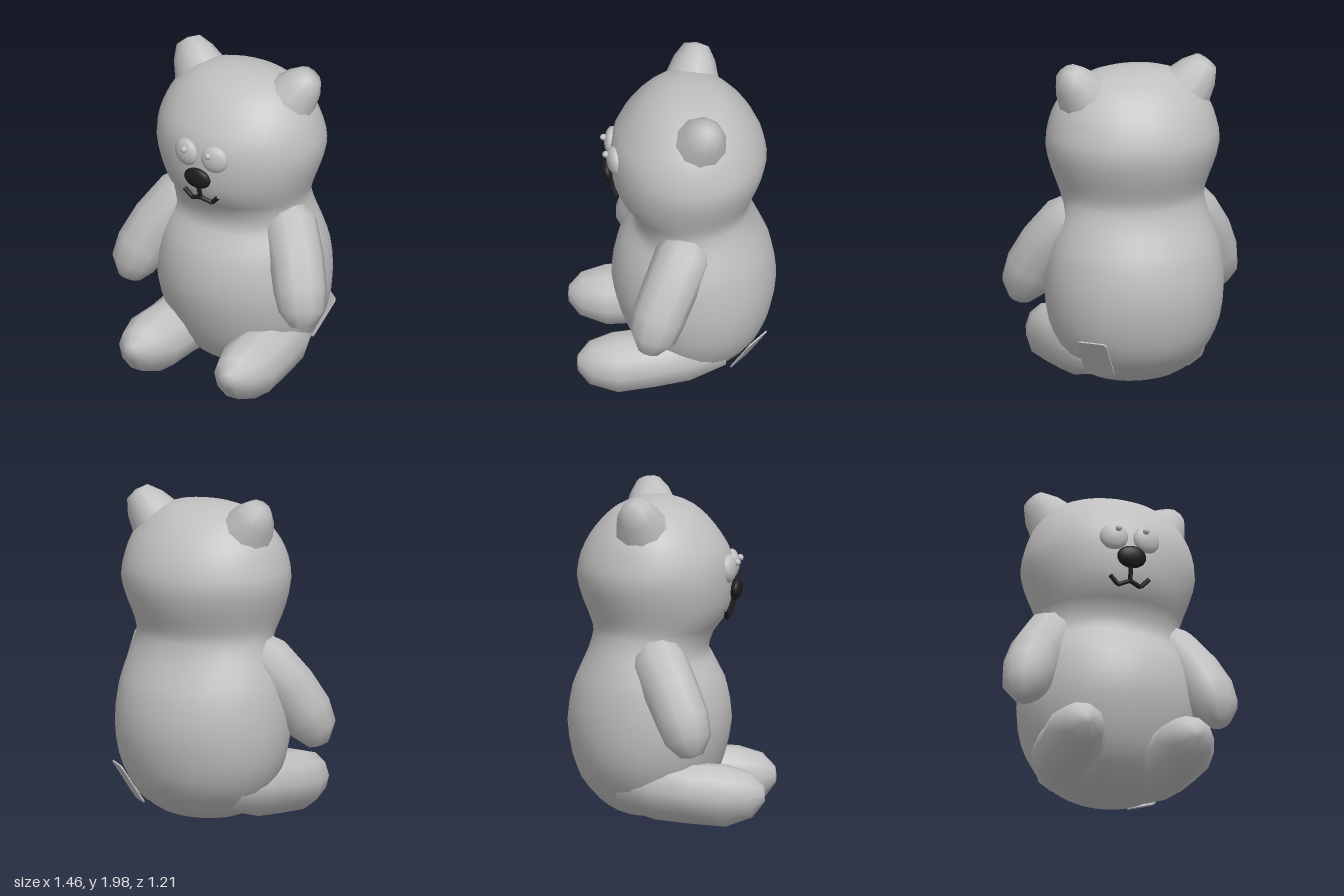
import * as THREE from 'three';
import { mergeVertices } from 'three/addons/utils/BufferGeometryUtils.js';

const fur = new THREE.MeshStandardMaterial({ color: 0xc0c0c0 });
fur.name = 'fur grey';
const black = new THREE.MeshStandardMaterial({ color: 0x1e1e1e });
black.name = 'nose black';

const V = (x, y, z) => new THREE.Vector3(x, y, z);

// Smooth skin over rings of points; end rings shrink to a point
function loft(rings) {
  const n = rings[0].length;
  const index = [];
  for (let i = 0; i < rings.length - 1; i++) {
    for (let j = 0; j < n; j++) {
      const k = (j + 1) % n;
      const a = i * n + j, b = i * n + k, c = (i + 1) * n + k, d = (i + 1) * n + j;
      index.push(a, b, c, a, c, d);
    }
  }
  let g = new THREE.BufferGeometry().setFromPoints(rings.flat());
  g.setIndex(index);
  g = mergeVertices(g, 1e-4);
  g.computeVertexNormals();
  return g;
}

// Limb from sections [x, y, z, radius], mirrored by side
function limb(sections, side, sides = 10) {
  const pts = sections.map(([x, y, z]) => V(x * side, y, z));
  const last = pts.length - 1;
  return loft(pts.map((p, i) => {
    const t = pts[Math.min(i + 1, last)].clone().sub(pts[Math.max(i - 1, 0)]).normalize();
    const e1 = V(1, 0, 0).addScaledVector(t, -t.x).normalize();
    const e2 = t.clone().cross(e1);
    return Array.from({ length: sides }, (_, j) => {
      const a = (j / sides) * Math.PI * 2, r = sections[i][3];
      return p.clone().addScaledVector(e1, Math.cos(a) * r).addScaledVector(e2, Math.sin(a) * r);
    });
  }));
}

// Torso and head sections: height, half width, front z, back z
const trunk = [
  [0.03, 0, -0.1, -0.1], [0.032, 0.15, 0.0, -0.22], [0.06, 0.26, 0.11, -0.32],
  [0.13, 0.36, 0.2, -0.42], [0.25, 0.45, 0.28, -0.52], [0.4, 0.515, 0.335, -0.575],
  [0.6, 0.54, 0.375, -0.605], [0.8, 0.525, 0.345, -0.575], [0.93, 0.49, 0.28, -0.52],
  [1.02, 0.455, 0.235, -0.48], [1.13, 0.43, 0.265, -0.45], [1.21, 0.445, 0.325, -0.465],
  [1.32, 0.485, 0.37, -0.51], [1.475, 0.525, 0.385, -0.55], [1.6, 0.505, 0.37, -0.525],
  [1.71, 0.466, 0.31, -0.47], [1.8, 0.4, 0.24, -0.4], [1.87, 0.32, 0.16, -0.32],
  [1.92, 0.19, 0.05, -0.2], [1.937, 0, -0.07, -0.07],
];

function trunkGeometry(sides = 32) {
  const size = new THREE.CatmullRomCurve3(trunk.map(([y, w]) => V(w, y, 0)));
  const depth = new THREE.CatmullRomCurve3(trunk.map(([, , f, b]) => V(f, b, 0)));
  const steps = (trunk.length - 1) * 2;
  const rings = [];
  for (let i = 0; i <= steps; i++) {
    const s = size.getPoint(i / steps), d = depth.getPoint(i / steps);
    const mid = (d.x + d.y) / 2, rz = (d.x - d.y) / 2;
    rings.push(Array.from({ length: sides }, (_, j) => {
      const a = (j / sides) * Math.PI * 2;
      return V(Math.sin(a) * s.x, s.y, mid + Math.cos(a) * rz);
    }));
  }
  return loft(rings);
}

const arm = [
  [0.2, 1.1, -0.07, 0], [0.28, 1.07, -0.06, 0.13], [0.38, 0.99, -0.02, 0.17],
  [0.49, 0.83, 0.07, 0.165], [0.56, 0.68, 0.14, 0.16], [0.595, 0.57, 0.175, 0.14],
  [0.61, 0.48, 0.2, 0.07], [0.612, 0.467, 0.202, 0],
];
const leg = [
  [0.24, 0.25, -0.28, 0], [0.25, 0.25, -0.25, 0.15], [0.29, 0.235, -0.02, 0.2],
  [0.32, 0.205, 0.18, 0.185], [0.335, 0.195, 0.38, 0.187], [0.34, 0.205, 0.53, 0.135],
  [0.342, 0.21, 0.602, 0.05], [0.342, 0.21, 0.608, 0],
];
const ear = [
  [0.17, 1.56, -0.08, 0], [0.22, 1.64, -0.1, 0.22], [0.32, 1.79, -0.13, 0.165],
  [0.39, 1.885, -0.15, 0.125], [0.435, 1.95, -0.165, 0.075], [0.445, 1.962, -0.168, 0],
];

export function createModel() {
  const model = new THREE.Group();
  model.name = 'teddyBear';
  const add = (name, geometry, material, x = 0, y = 0, z = 0) => {
    const mesh = new THREE.Mesh(geometry, material);
    mesh.name = name;
    mesh.position.set(x, y, z);
    model.add(mesh);
    return mesh;
  };

  add('torsoAndHead', trunkGeometry(), fur);

  for (const [label, s] of [['left', 1], ['right', -1]]) {
    add(label + 'Arm', limb(arm, s), fur);
    add(label + 'Leg', limb(leg, s), fur);
    add(label + 'Ear', limb(ear, s), fur);
    const eye = add(label + 'Eye', new THREE.SphereGeometry(0.085, 24, 16), fur, s * 0.1, 1.523, 0.367);
    eye.scale.z = 0.52;
    eye.rotation.y = s * 0.2;
    add(label + 'Pupil', new THREE.SphereGeometry(0.02, 12, 8), fur, s * 0.085, 1.56, 0.418);
  }

  // Nose and mouth
  const nose = add('nose', new THREE.SphereGeometry(1, 20, 14), black, 0, 1.388, 0.403);
  nose.scale.set(0.09, 0.068, 0.036);
  nose.rotation.x = 0.15;
  const line = (pts) => new THREE.CatmullRomCurve3(pts, false, 'catmullrom', 0);
  add('mouthStem', new THREE.TubeGeometry(line([V(0, 1.36, 0.395), V(0, 1.24, 0.368)]), 2, 0.014, 8), black);
  const smile = [V(-0.12, 1.275, 0.358), V(-0.07, 1.222, 0.35), V(0, 1.248, 0.368),
    V(0.07, 1.222, 0.35), V(0.12, 1.275, 0.358)];
  add('mouth', new THREE.TubeGeometry(line(smile), 24, 0.014, 8), black);

  // Rounded patch sewn on the lower left of the back
  const w = 0.094, h = 0.139, r = 0.025;
  const outline = new THREE.Shape();
  outline.absarc(w - r, h - r, r, 0, Math.PI / 2);
  outline.absarc(r - w, h - r, r, Math.PI / 2, Math.PI);
  outline.absarc(r - w, r - h, r, Math.PI, Math.PI * 1.5);
  outline.absarc(w - r, r - h, r, Math.PI * 1.5, Math.PI * 2);
  const patch = add('backPatch', new THREE.ExtrudeGeometry(outline,
    { depth: 0.009, bevelEnabled: false, curveSegments: 5 }), fur, 0.33, 0.245, -0.412);
  const across = V(-0.77, 0, -0.64).normalize();
  const up = V(0.34, 0.84, -0.41).normalize();
  const out = across.clone().cross(up).normalize();
  patch.quaternion.setFromRotationMatrix(new THREE.Matrix4().makeBasis(across, up, out));

  return model;
}
